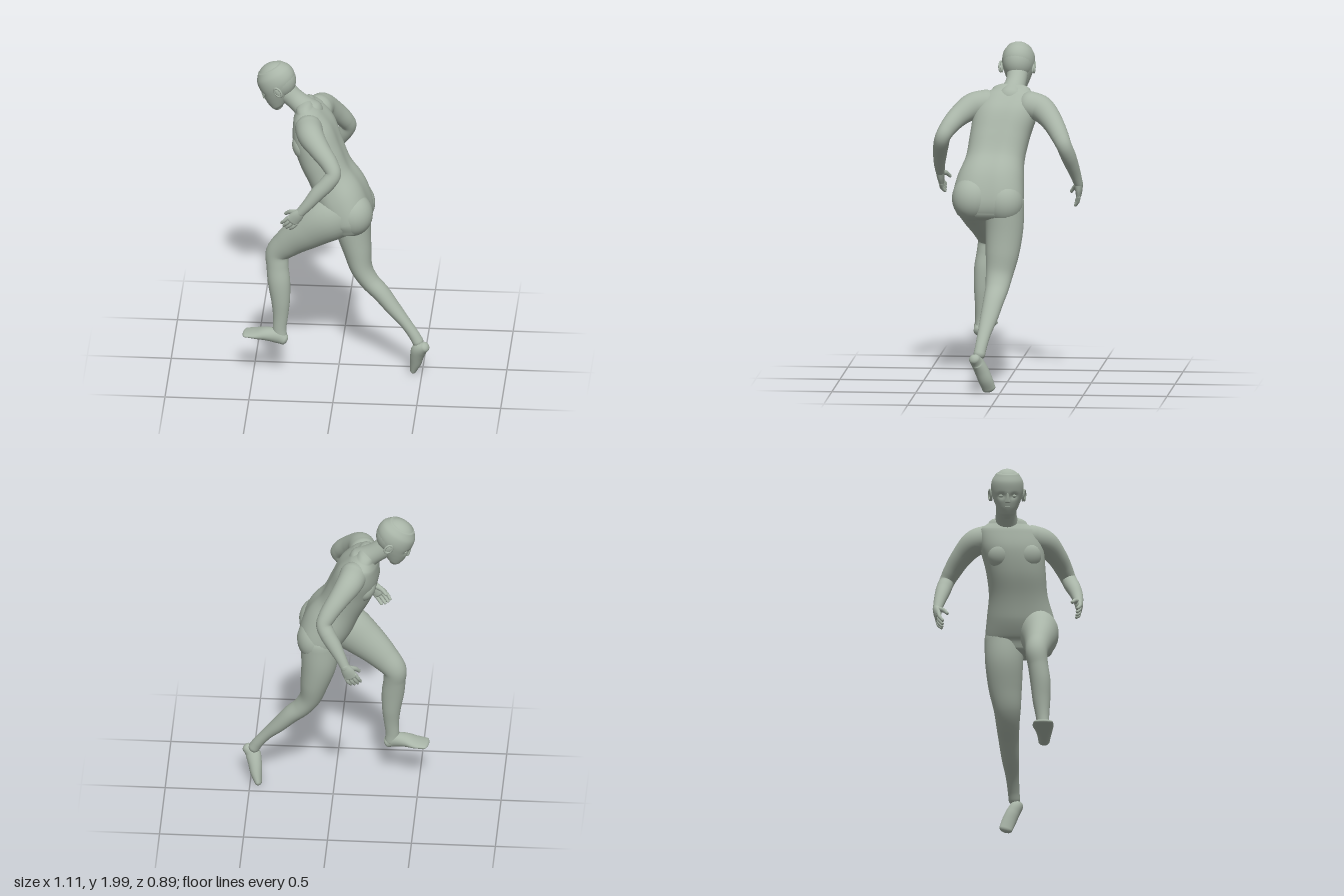
import * as THREE from 'three';

const skin = new THREE.MeshStandardMaterial({ color: 0xa9b5a8 });
skin.name = 'sage clay';
const V = (x, y, z) => new THREE.Vector3(x, y, z);

// Smooth closed skin over sections [x, y, z, half width along side, half depth].
// level keeps the side direction exact; axis fixes the direction of all rings.
function loft(name, sections, side, { axis, level, cap, seg = 28, square = 1, furrow = 0, per = 6 } = {}) {
  const path = new THREE.CatmullRomCurve3(sections.map(s => V(s[0], s[1], s[2])));
  const size = new THREE.CatmullRomCurve3(sections.map(s => V(s[3], s[4], 0)), false, 'catmullrom');
  const n = (sections.length - 1) * per;
  const pos = [], idx = [];
  const bend = v => Math.sign(v) * Math.abs(v) ** square;
  const ring = (t, shrink, shift) => {
    const c = path.getPoint(t), r = size.getPoint(t), S = side.clone().normalize();
    const T = axis ? axis.clone() : path.getTangent(t);
    if (level) T.addScaledVector(S, -T.dot(S)).normalize();
    else S.addScaledVector(T, -T.dot(S)).normalize();
    const D = T.clone().cross(S);
    c.addScaledVector(T, shift * (cap ?? Math.min(r.x, r.y) * 0.9));
    if (shrink === 0) return pos.push(c.x, c.y, c.z);
    for (let j = 0; j < seg; j++) {
      const a = (j / seg) * Math.PI * 2;
      const groove = 1 - furrow * Math.exp(-(((a - Math.PI * 1.5) / 0.22) ** 2));
      const p = c.clone().addScaledVector(S, bend(Math.cos(a)) * r.x * shrink)
        .addScaledVector(D, bend(Math.sin(a)) * r.y * shrink * groove);
      pos.push(p.x, p.y, p.z);
    }
  };
  const angles = [75, 55, 35, 15].map(a => a * Math.PI / 180);
  ring(0, 0, -1);
  angles.forEach(a => ring(0, Math.cos(a), -Math.sin(a)));
  for (let i = 0; i <= n; i++) ring(i / n, 1, 0);
  [...angles].reverse().forEach(a => ring(1, Math.cos(a), Math.sin(a)));
  ring(1, 0, 1);
  const rows = n + 1 + angles.length * 2, last = pos.length / 3 - 1;
  const at = (i, j) => 1 + i * seg + (j % seg);
  for (let j = 0; j < seg; j++) {
    idx.push(0, at(0, j + 1), at(0, j), last, at(rows - 1, j), at(rows - 1, j + 1));
    for (let i = 0; i < rows - 1; i++) {
      idx.push(at(i, j), at(i, j + 1), at(i + 1, j + 1), at(i, j), at(i + 1, j + 1), at(i + 1, j));
    }
  }
  const g = new THREE.BufferGeometry();
  g.setAttribute('position', new THREE.Float32BufferAttribute(pos, 3));
  g.setIndex(idx);
  g.computeVertexNormals();
  const mesh = new THREE.Mesh(g, skin);
  mesh.name = name;
  return mesh;
}

function ball(name, [x, y, z], [a, b, c], tilt = 0) {
  const m = new THREE.Mesh(new THREE.SphereGeometry(1, 28, 20), skin);
  m.name = name;
  m.position.set(x, y, z);
  m.scale.set(a, b, c);
  m.rotation.z = tilt;
  return m;
}

// Hand hanging from the wrist w along d, palm facing inward.
function makeHand(name, w, d, sign) {
  const hand = new THREE.Group();
  hand.name = name;
  const side = V(-d.y, d.x, 0);
  const at = (s, k, inward) => w.clone().addScaledVector(d, s).addScaledVector(side, k).add(V(0, 0, -sign * inward));
  const sec = (s, k, inw, a, b) => [...at(s, k, inw).toArray(), a, b];
  hand.add(loft('palm', [sec(-0.01, 0, 0, 0.027, 0.026), sec(0.03, 0, 0, 0.037, 0.023),
    sec(0.075, 0, 0.002, 0.041, 0.017)], side));
  [-0.031, -0.0105, 0.0105, 0.031].forEach((k, i) => {
    const len = [0.93, 1, 0.98, 0.85][i];
    hand.add(loft('finger', [sec(0.07, k, 0.001, 0.011, 0.012), sec(0.07 + 0.04 * len, k * 1.05, 0.006, 0.0105, 0.011),
      sec(0.07 + 0.072 * len, k, 0.022, 0.009, 0.009)], side, { seg: 12, per: 4 }));
  });
  hand.add(loft('thumb', [sec(0.02, -0.018, 0.008, 0.018, 0.016), sec(0.05, -0.04, 0.03, 0.014, 0.013),
    sec(0.085, -0.046, 0.05, 0.01, 0.01)], side, { seg: 12, per: 4 }));
  return hand;
}

function makeHead() {
  const head = new THREE.Group();
  head.name = 'head';
  const X = V(1, 0, 0);
  // Skull and jaw, local forward is +z
  const skull = loft('skull', [
    [0, -0.158, 0.078, 0.028, 0.028], [0, -0.14, 0.066, 0.046, 0.05], [0, -0.1, 0.042, 0.066, 0.08],
    [0, -0.05, 0.014, 0.086, 0.107], [0, 0, 0, 0.097, 0.118], [0, 0.05, -0.003, 0.092, 0.111],
    [0, 0.09, -0.003, 0.069, 0.083]], X, { axis: V(0, -1, 0).negate(), cap: 0.012, seg: 48 });
  // Rounded crown and hollows for the eyes
  const p = skull.geometry.attributes.position;
  for (let i = 0; i < p.count; i++) {
    if (p.getZ(i) < 0.05) continue;
    const q = ((Math.abs(p.getX(i)) - 0.036) / 0.02) ** 2 + ((p.getY(i) + 0.032) / 0.016) ** 2;
    p.setZ(i, p.getZ(i) - 0.013 * Math.exp(-q));
  }
  skull.geometry.computeVertexNormals();
  head.add(skull, ball('crown', [0, 0.005, -0.002], [0.095, 0.116, 0.115]));
  // Nose, lips, eyes, ears
  head.add(loft('nose', [[0, -0.02, 0.112, 0.008, 0.01], [0, -0.045, 0.115, 0.011, 0.014],
    [0, -0.066, 0.117, 0.017, 0.016]], X, { seg: 16, per: 4, cap: 0.008 }));
  head.add(ball('upperLip', [0, -0.098, 0.112], [0.024, 0.008, 0.012]), ball('lowerLip', [0, -0.112, 0.109], [0.021, 0.008, 0.012]));
  for (const s of [-1, 1]) {
    head.add(ball('eyelid', [s * 0.036, -0.034, 0.095], [0.017, 0.011, 0.012]));
    head.add(ball('ear', [s * 0.096, -0.04, -0.004], [0.009, 0.033, 0.018], -s * 0.15));
    const rim = new THREE.Mesh(new THREE.TorusGeometry(0.021, 0.006, 10, 24), skin);
    rim.name = 'earRim';
    rim.position.set(s * 0.102, -0.036, -0.006);
    rim.rotation.y = Math.PI / 2 - s * 0.3;
    rim.scale.y = 1.4;
    head.add(rim);
  }
  // Bowed forward, turned slightly
  head.quaternion.setFromRotationMatrix(new THREE.Matrix4().makeBasis(V(0, 0, 1), V(-0.5, 0.866, 0), V(-0.866, -0.5, 0)));
  head.rotateOnWorldAxis(V(0, 1, 0), -0.1);
  head.position.set(-0.372, 1.88, -0.03);
  return head;
}

export function createModel() {
  const runner = new THREE.Group();
  runner.name = 'runningFigure';
  const Z = V(0, 0, 1);

  // Trunk
  runner.add(loft('torso', [
    [-0.2, 1.735, -0.005, 0.115, 0.055], [-0.187, 1.7, 0, 0.165, 0.085], [-0.15, 1.6, 0.025, 0.188, 0.128],
    [-0.105, 1.47, 0.055, 0.178, 0.138], [-0.045, 1.34, 0.078, 0.175, 0.135], [0.022, 1.22, 0.1, 0.2, 0.152],
    [0.075, 1.1, 0.11, 0.212, 0.138], [0.085, 1.03, 0.11, 0.185, 0.11]],
  V(-0.08, 0, 1), { level: true, square: 0.86, furrow: 0.06, cap: 0.04, seg: 64 }));
  runner.add(loft('neck', [[-0.17, 1.69, -0.005, 0.085, 0.08], [-0.225, 1.735, -0.015, 0.068, 0.064],
    [-0.275, 1.775, -0.025, 0.061, 0.06], [-0.34, 1.83, -0.03, 0.064, 0.066]], Z));
  for (const s of [-1, 1]) {
    runner.add(ball('chestMuscle', [-0.2 - s * 0.006, 1.52, 0.035 + s * 0.08], [0.062, 0.085, 0.08], 0.35));
  }
  runner.add(ball('leftButtock', [0.095, 1.125, 0.2], [0.121, 0.135, 0.122]));
  runner.add(ball('rightButtock', [0.1, 1.105, 0.015], [0.116, 0.135, 0.118]));
  runner.add(makeHead());

  // Arms, both bent at the elbow
  runner.add(loft('leftArm', [
    [-0.17, 1.655, 0.14, 0.082, 0.085], [-0.15, 1.642, 0.22, 0.078, 0.08], [-0.09, 1.59, 0.3, 0.062, 0.064],
    [-0.03, 1.53, 0.355, 0.052, 0.053], [-0.005, 1.48, 0.385, 0.046, 0.046], [-0.04, 1.425, 0.4, 0.046, 0.047],
    [-0.1, 1.36, 0.412, 0.041, 0.043], [-0.155, 1.29, 0.42, 0.033, 0.034], [-0.2, 1.235, 0.42, 0.026, 0.028]],
  V(0.5, 0.3, -0.8)));
  runner.add(loft('rightArm', [
    [-0.13, 1.655, -0.12, 0.082, 0.085], [-0.11, 1.637, -0.19, 0.078, 0.08], [-0.05, 1.57, -0.262, 0.063, 0.064],
    [0.01, 1.49, -0.315, 0.053, 0.053], [0.032, 1.44, -0.34, 0.046, 0.047], [0.01, 1.385, -0.36, 0.046, 0.047],
    [-0.03, 1.32, -0.38, 0.041, 0.043], [-0.07, 1.25, -0.4, 0.033, 0.034], [-0.1, 1.19, -0.415, 0.026, 0.028]],
  V(0.5, 0.3, 0.8)));
  runner.add(makeHand('leftHand', V(-0.2, 1.235, 0.42), V(-0.65, -0.76, 0).normalize(), 1));
  runner.add(makeHand('rightHand', V(-0.1, 1.19, -0.415), V(-0.45, -0.89, 0).normalize(), -1));

  // Left leg lifted forward
  runner.add(loft('leftLeg', [
    [0.05, 1.13, 0.2, 0.118, 0.135], [-0.059, 1.085, 0.203, 0.115, 0.142], [-0.17, 1.003, 0.19, 0.098, 0.12],
    [-0.283, 0.905, 0.165, 0.077, 0.092], [-0.355, 0.82, 0.147, 0.065, 0.072], [-0.355, 0.74, 0.157, 0.06, 0.066],
    [-0.345, 0.64, 0.172, 0.06, 0.067], [-0.335, 0.52, 0.18, 0.052, 0.056], [-0.335, 0.42, 0.186, 0.04, 0.045],
    [-0.34, 0.34, 0.19, 0.035, 0.041], [-0.338, 0.285, 0.192, 0.035, 0.043]], Z));
  runner.add(loft('leftFoot', [
    [-0.312, 0.268, 0.198, 0.034, 0.034], [-0.35, 0.288, 0.194, 0.04, 0.045], [-0.42, 0.296, 0.184, 0.052, 0.038],
    [-0.48, 0.291, 0.171, 0.062, 0.025], [-0.54, 0.288, 0.164, 0.058, 0.014]], Z, { cap: 0.02 }));

  // Right leg pushing off behind
  runner.add(loft('rightLeg', [
    [0.08, 1.1, 0.01, 0.118, 0.115], [0.083, 0.95, 0.01, 0.113, 0.108], [0.11, 0.8, 0.02, 0.1, 0.086],
    [0.137, 0.68, 0.035, 0.082, 0.066], [0.185, 0.6, 0.045, 0.07, 0.056], [0.255, 0.53, 0.06, 0.061, 0.052],
    [0.33, 0.44, 0.08, 0.052, 0.044], [0.4, 0.36, 0.1, 0.04, 0.034], [0.455, 0.285, 0.115, 0.035, 0.033],
    [0.478, 0.245, 0.122, 0.035, 0.034]], Z));
  runner.add(loft('rightFoot', [
    [0.522, 0.223, 0.148, 0.033, 0.031], [0.49, 0.198, 0.133, 0.038, 0.046], [0.474, 0.15, 0.11, 0.042, 0.042],
    [0.464, 0.09, 0.086, 0.043, 0.035], [0.45, 0.036, 0.067, 0.04, 0.022]], Z, { cap: 0.022 }));
  return runner;
}
